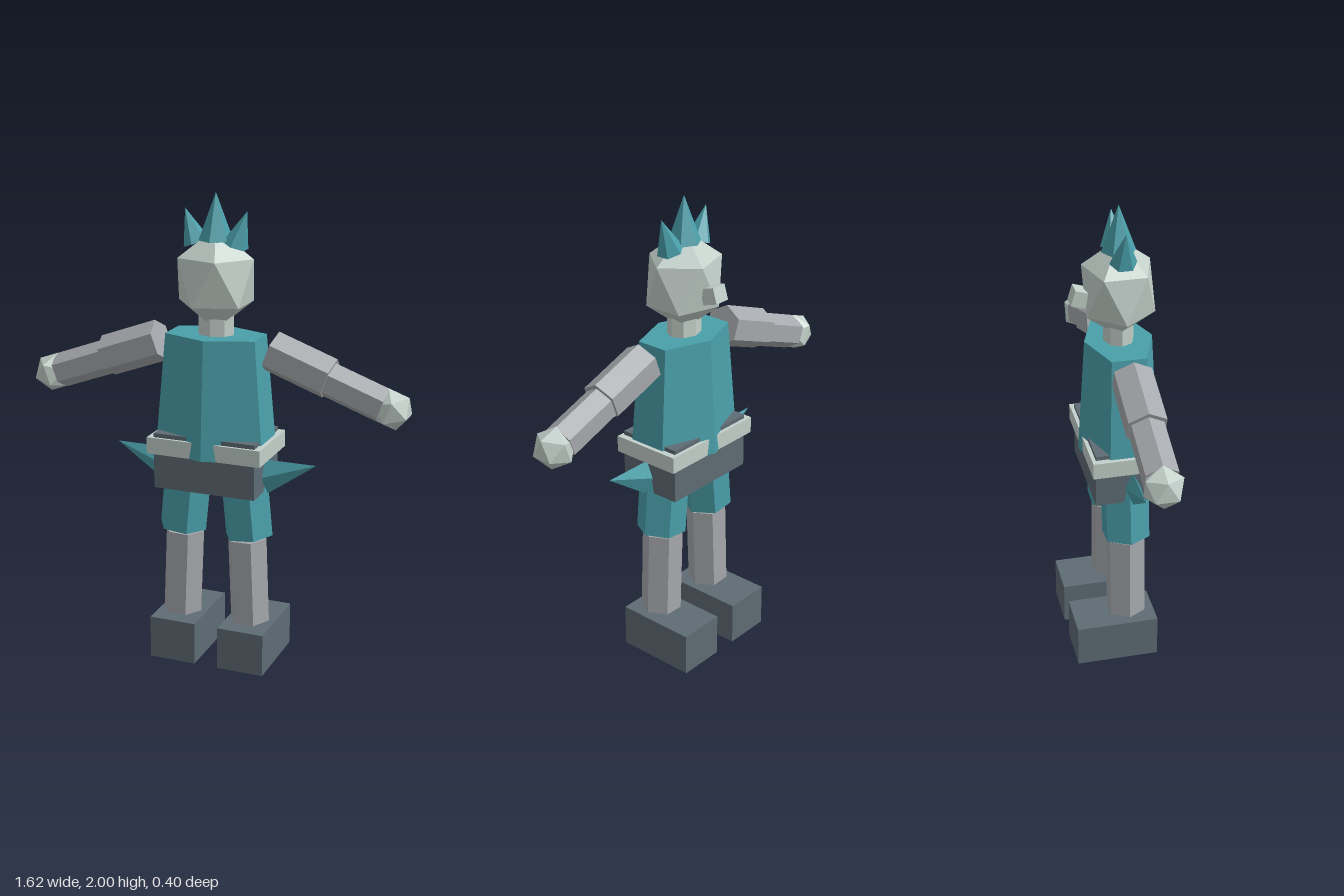
import * as THREE from 'three';

const mat = (color) => new THREE.MeshStandardMaterial({ color, flatShading: true });
const RAD = Math.PI / 180;
const ZC = 0.031; // depth of the body's axis

export function createModel() {
  const group = new THREE.Group();
  const teal = mat(0x4a9faa), slate = mat(0x5e6c74), pale = mat(0xc3d0ca), grey = mat(0xa5a8ac);

  const add = (name, geo, material, x, y, z = ZC, rotZ = 0) => {
    const mesh = new THREE.Mesh(geo, material);
    mesh.name = name;
    mesh.position.set(x, y, z);
    mesh.rotation.z = rotZ;
    group.add(mesh);
    return mesh;
  };
  // Six-sided bar; with turn, its corners point along x instead of z
  const hexBar = (r, length, turn = false) => {
    const geo = new THREE.CylinderGeometry(r, r, length, 6);
    return turn ? geo.rotateY(Math.PI / 6) : geo;
  };

  // Torso, pelvis and belt
  add('torso', new THREE.CylinderGeometry(0.223, 0.271, 0.495, 6).scale(1, 1, 0.625), teal, 0, 1.183);
  add('pelvis', new THREE.BoxGeometry(0.44, 0.235, 0.278), slate, 0, 0.905, 0.029);
  add('belt', new THREE.BoxGeometry(0.494, 0.07, 0.305), pale, 0, 0.97, 0.027);

  // Neck, and a faceted head standing on one corner
  add('neck', new THREE.CylinderGeometry(0.077, 0.077, 0.14, 8).scale(1, 1, 0.81), pale, 0, 1.48);
  const head = new THREE.IcosahedronGeometry(1, 0)
    .rotateZ(-Math.atan2(0.5257, 0.8507))
    .scale(0.18, 0.207, 0.163);
  add('head', head, pale, 0, 1.652);
  add('nose', new THREE.BoxGeometry(0.07, 0.066, 0.07), pale, 0, 1.63, -0.123).rotation.x = 0.3;

  // Hair spikes
  add('hairSpikeCentre', new THREE.ConeGeometry(0.07, 0.19, 6), teal, 0, 1.905);

  for (const [side, s] of [['left', 1], ['right', -1]]) {
    add(side + 'HairSpike', new THREE.ConeGeometry(0.055, 0.145, 6), teal, s * 0.107, 1.863, ZC, -s * 20 * RAD);

    // Arm, sloping down and outward
    const armTilt = s * 70 * RAD;
    add(side + 'UpperArm', hexBar(0.087, 0.26, true), grey, s * 0.363, 1.337, ZC, armTilt);
    add(side + 'Forearm', hexBar(0.074, 0.25, true), grey, s * 0.592, 1.248, ZC, armTilt);
    add(side + 'Hand', new THREE.IcosahedronGeometry(0.086, 0), pale, s * 0.742, 1.195, ZC, -s * 20 * RAD);

    // Flat four-sided hip spike
    add(side + 'HipSpike', new THREE.ConeGeometry(0.076, 0.24, 4).scale(1, 1, 0.43), teal,
      s * 0.326, 0.889, 0.043, -s * 72.4 * RAD);

    // Leg and foot
    add(side + 'Thigh', hexBar(0.104, 0.28, true), teal, s * 0.136, 0.722, ZC, s * 5.5 * RAD);
    add(side + 'Shin', hexBar(0.086, 0.37, true), grey, s * 0.148, 0.384, ZC, s * 2.3 * RAD);
    add(side + 'Foot', new THREE.BoxGeometry(0.204, 0.185, 0.35), slate, s * 0.154, 0.0925, -0.025);
  }
  return group;
}
